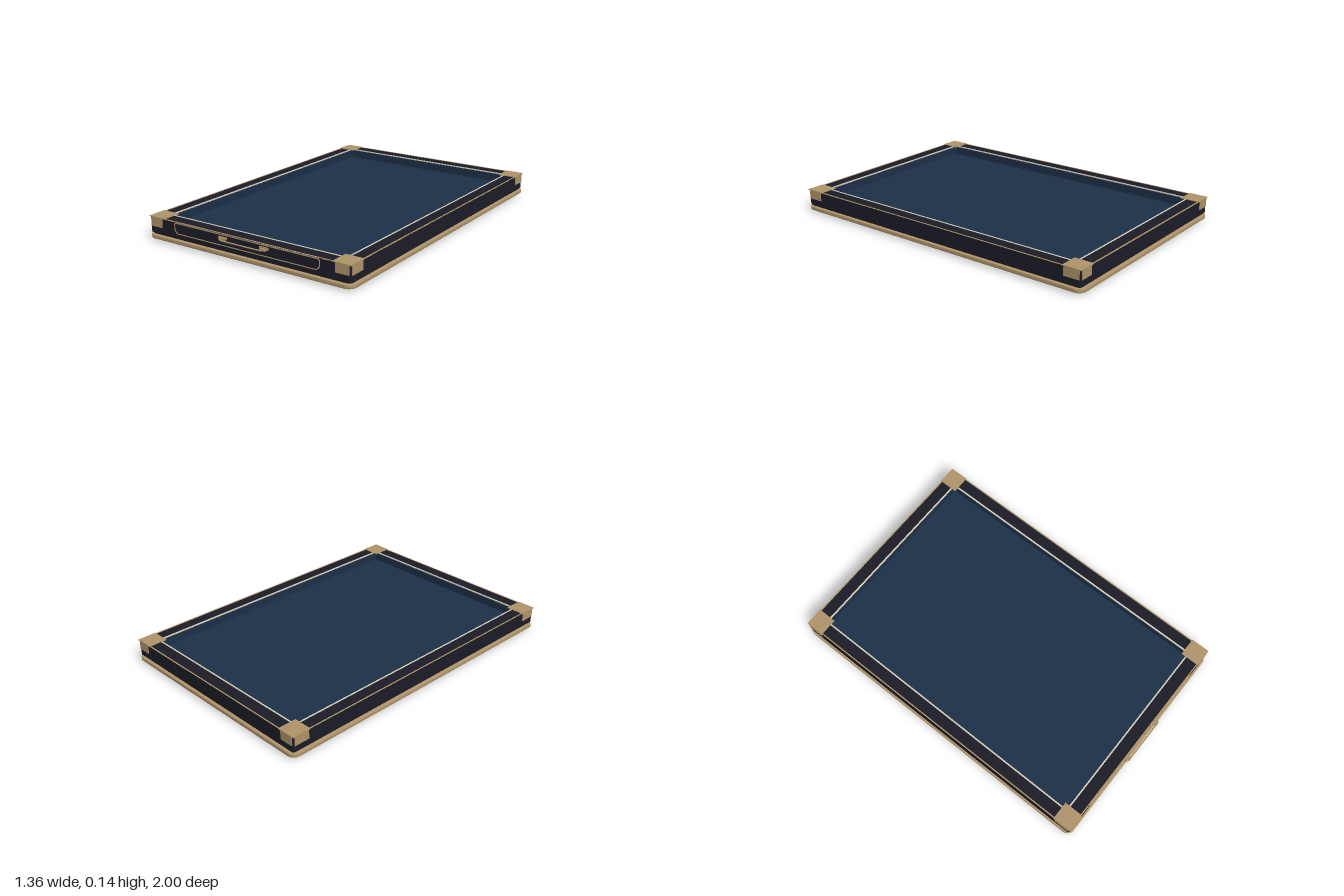
import * as THREE from 'three';

const mat = (name, color) => Object.assign(new THREE.MeshStandardMaterial({ color }), { name });
const navy = mat('dark navy leather', 0x1c1c28);
const black = mat('black underside', 0x18171e);
const brass = mat('aged brass', 0xb0956a);
const blue = mat('blue felt', 0x1d3048);
const ivory = mat('ivory inlay', 0xd2ccba);

const CZ = -0.007; // the tray sits slightly back to leave room for the handle

// Rounded rectangle outline with half sizes a, b and corner radius r
function roundRect(path, a, b, r) {
  path.moveTo(-a + r, -b);
  path.lineTo(a - r, -b).absarc(a - r, -b + r, r, -Math.PI / 2, 0, false);
  path.lineTo(a, b - r).absarc(a - r, b - r, r, 0, Math.PI / 2, false);
  path.lineTo(-a + r, b).absarc(-a + r, b - r, r, Math.PI / 2, Math.PI, false);
  path.lineTo(-a, -b + r).absarc(-a + r, -b + r, r, Math.PI, Math.PI * 1.5, false);
  return path;
}

// Shape, optionally with a smaller hole
function ringShape(outer, inner) {
  const s = roundRect(new THREE.Shape(), ...outer);
  if (inner) s.holes.push(roundRect(new THREE.Path(), ...inner));
  return s;
}

// Horizontal slab or frame from y0 to y1
function slab(name, material, y0, y1, outer, inner, bevel = 0) {
  const g = new THREE.ExtrudeGeometry(ringShape(outer, inner), {
    depth: y1 - y0 - 2 * bevel, bevelEnabled: bevel > 0, bevelSize: bevel,
    bevelThickness: bevel, bevelOffset: -bevel, bevelSegments: 2, curveSegments: 8,
  });
  g.rotateX(-Math.PI / 2);
  const m = new THREE.Mesh(g, material);
  m.name = name;
  m.position.set(0, y0 + bevel, CZ);
  return m;
}

function box(name, material, w, h, d, x, y, z) {
  const m = new THREE.Mesh(new THREE.BoxGeometry(w, h, d), material);
  m.name = name;
  m.position.set(x, y, z);
  return m;
}

export function createModel() {
  const tray = new THREE.Group();
  tray.name = 'tray';

  // Foot, brass base moulding and shadow groove
  tray.add(
    slab('foot', black, 0, 0.014, [0.642, 0.952, 0.03]),
    slab('baseMoulding', brass, 0.012, 0.036, [0.682, 0.993, 0.045], null, 0.005),
    slab('groove', black, 0.036, 0.045, [0.664, 0.974, 0.02]),
  );

  // Walls, raised floor and inner lining
  tray.add(
    slab('walls', navy, 0.044, 0.135, [0.672, 0.982, 0.014], [0.592, 0.9, 0.004]),
    slab('floor', blue, 0.045, 0.08, [0.6, 0.91, 0.004]),
    slab('innerLining', blue, 0.079, 0.128, [0.594, 0.902, 0.003], [0.588, 0.896, 0.002]),
  );

  // Rim inlays: ivory inside, brass outside
  tray.add(
    slab('ivoryInlay', ivory, 0.131, 0.137, [0.598, 0.905, 0.004], [0.589, 0.896, 0.003]),
    slab('brassRimTrim', brass, 0.133, 0.137, [0.672, 0.982, 0.014], [0.665, 0.975, 0.01]),
  );

  // Corner caps: a top plate and one plate on each outer side
  for (const sx of [-1, 1]) for (const sz of [-1, 1]) {
    const cap = new THREE.Group();
    cap.name = 'cornerCap';
    cap.add(
      box('capTop', brass, 0.112, 0.005, 0.115, sx * 0.619, 0.1365, CZ + sz * 0.9275),
      box('capEndPlate', brass, 0.083, 0.053, 0.006, sx * 0.621, 0.1085, CZ + sz * 0.982),
      box('capSidePlate', brass, 0.006, 0.053, 0.094, sx * 0.672, 0.1085, CZ + sz * 0.926),
    );
    tray.add(cap);
  }

  // Thin brass outline on the front panel, clipped more at the lower corners
  const front = CZ + 0.982;
  const clipped = (path, a, b, low, high) => {
    path.setFromPoints([[-a + low, -b], [a - low, -b], [a, -b + low], [a, b - high], [a - high, b],
      [-a + high, b], [-a, b - high], [-a, -b + low]].map(([x, y]) => new THREE.Vector2(x, y)));
    path.closePath();
    return path;
  };
  const outline = clipped(new THREE.Shape(), 0.488, 0.032, 0.019, 0.008);
  outline.holes.push(clipped(new THREE.Path(), 0.483, 0.027, 0.017, 0.006));
  const panel = new THREE.Mesh(new THREE.ExtrudeGeometry(outline, { depth: 0.003, bevelEnabled: false }), brass);
  panel.name = 'frontOutline';
  panel.position.set(0, 0.1, front - 0.001);
  tray.add(panel);

  // Drop handle with two mounts
  const handle = new THREE.Group();
  handle.name = 'handle';
  for (const s of [-1, 1]) {
    handle.add(
      box('handlePlate', brass, 0.056, 0.015, 0.006, s * 0.139, 0.113, front + 0.003),
      box('handleKnuckle', brass, 0.034, 0.013, 0.014, s * 0.138, 0.108, front + 0.01),
    );
  }
  const bail = new THREE.CatmullRomCurve3([
    [-0.145, 0.113, 0.004], [-0.145, 0.114, 0.017], [-0.141, 0.107, 0.021], [-0.125, 0.104, 0.021],
    [0.125, 0.104, 0.021], [0.141, 0.107, 0.021], [0.145, 0.114, 0.017], [0.145, 0.113, 0.004],
  ].map(([x, y, z]) => new THREE.Vector3(x, y, front + z)), false, 'catmullrom', 0.2);
  const bar = new THREE.Mesh(new THREE.TubeGeometry(bail, 64, 0.004, 8), brass);
  bar.name = 'handleBail';
  handle.add(bar);
  tray.add(handle);

  return tray;
}
